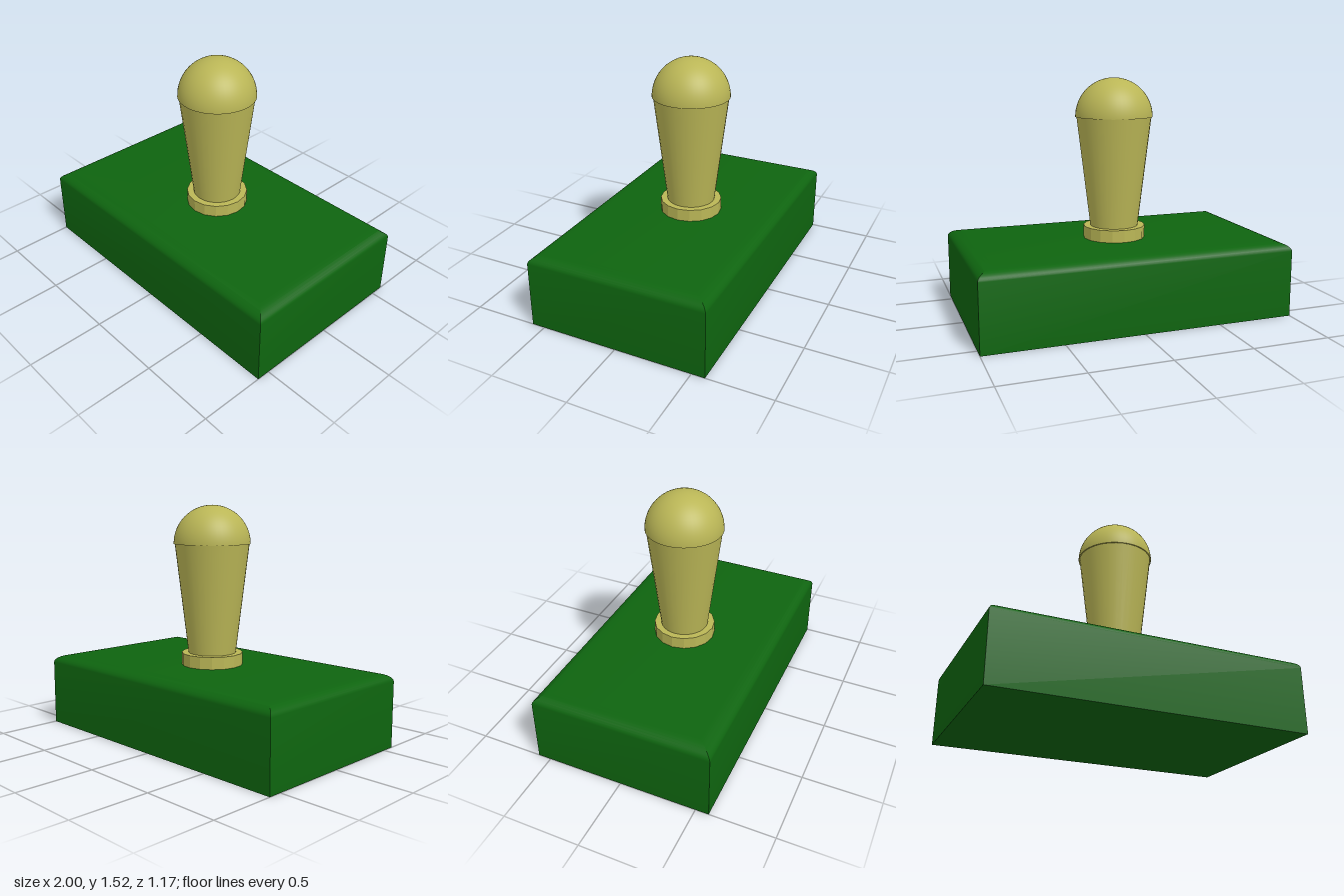
import * as THREE from 'three';
import { toCreasedNormals } from 'three/addons/utils/BufferGeometryUtils.js';

// Rectangular block with square mitred corners and a rounded top edge
function blockGeometry(halfX, halfZ, height, inset, drop, steps) {
  const rings = [{ x: halfX, z: halfZ, y: 0 }];
  for (let i = 0; i <= steps; i++) {
    const a = (i / steps) * Math.PI / 2;
    const d = inset * (1 - Math.cos(a));
    rings.push({ x: halfX - d, z: halfZ - d, y: height - drop + drop * Math.sin(a) });
  }
  const corners = ({ x, y, z }) => [[-x, y, z], [x, y, z], [x, y, -z], [-x, y, -z]];
  const pos = [];
  const quad = (a, b, c, d) => pos.push(...a, ...b, ...c, ...a, ...c, ...d);
  for (let r = 0; r < rings.length - 1; r++) {
    const lo = corners(rings[r]), hi = corners(rings[r + 1]);
    for (let s = 0; s < 4; s++) {
      const t = (s + 1) % 4;
      quad(lo[s], lo[t], hi[t], hi[s]);
    }
  }
  quad(...corners(rings[rings.length - 1]));
  quad(...corners(rings[0]).reverse());
  const geo = new THREE.BufferGeometry();
  geo.setAttribute('position', new THREE.Float32BufferAttribute(pos, 3));
  return toCreasedNormals(geo, 0.45);
}

export function createModel() {
  const green = new THREE.MeshStandardMaterial({ color: 0x0e640f });
  green.name = 'green';
  const wood = new THREE.MeshStandardMaterial({ color: 0xbab656 });
  wood.name = 'paleWood';
  const woodFlat = wood;

  const model = new THREE.Group();
  const add = (name, geo, mat, parent, y = 0) => {
    const mesh = new THREE.Mesh(geo, mat);
    mesh.name = name;
    mesh.position.y = y;
    parent.add(mesh);
  };

  // Base block
  add('base', blockGeometry(1, 0.585, 0.483, 0.11, 0.055, 8), green, model);

  // Handle: collar, tapered grip and domed top, set slightly back
  const handle = new THREE.Group();
  handle.name = 'handle';
  handle.position.z = -0.018;
  model.add(handle);

  const collar = new THREE.CylinderGeometry(0.2, 0.2, 0.082, 16);
  add('collar', toCreasedNormals(collar, 0.1), woodFlat, handle, 0.521);

  const grip = new THREE.CylinderGeometry(0.241, 0.155, 0.71, 32);
  add('grip', toCreasedNormals(grip, 0.5), wood, handle, 0.915);

  const dome = new THREE.SphereGeometry(0.248, 48, 16, 0, Math.PI * 2, 0, Math.PI / 2);
  add('dome', dome, wood, handle, 1.268);

  // Underside of the dome's small overhang
  const lip = new THREE.RingGeometry(0.235, 0.248, 48).rotateX(Math.PI / 2);
  add('domeLip', lip, wood, handle, 1.268);

  return model;
}
